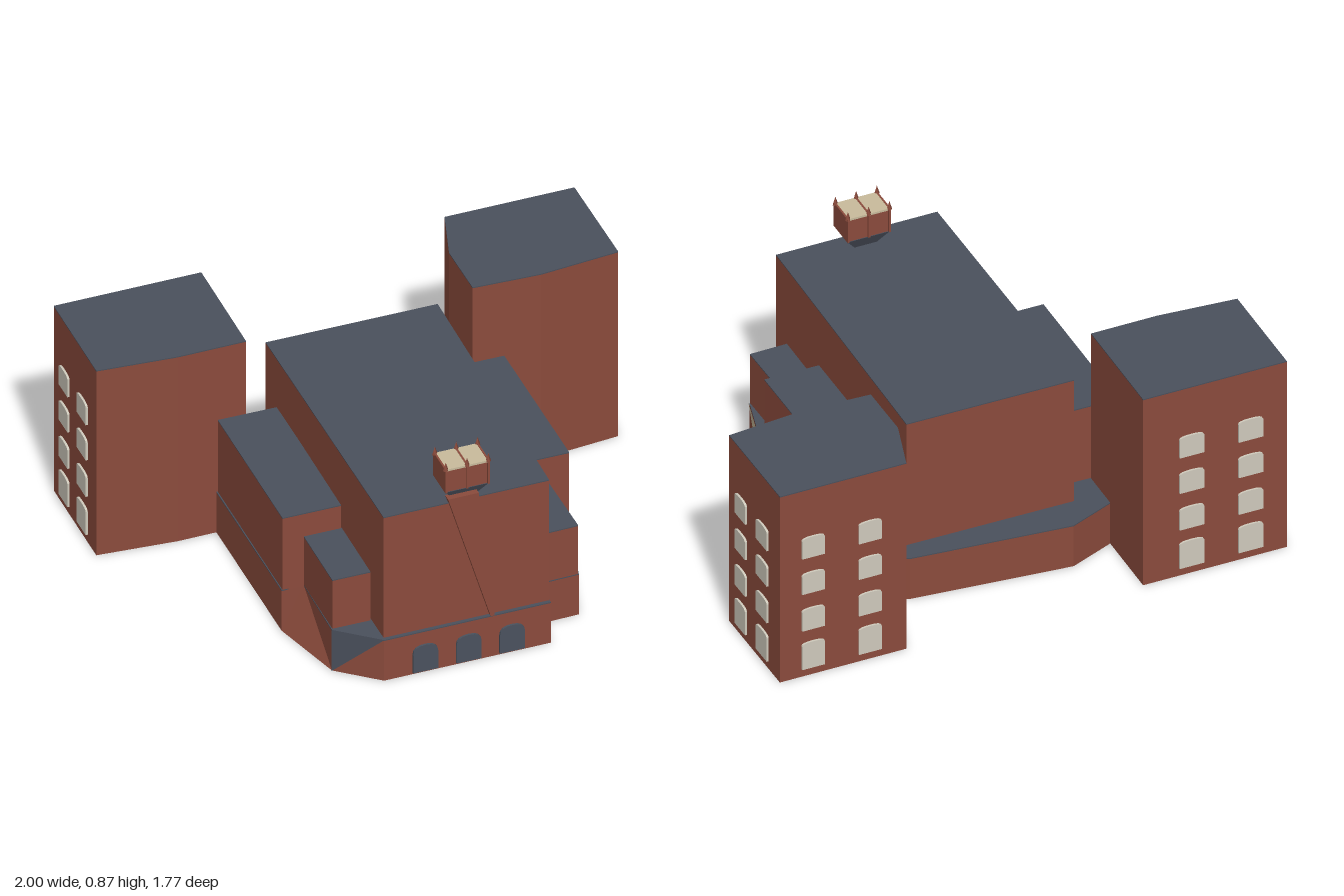
import * as THREE from 'three';

const mat = (name, color, extra = {}) => {
  const m = new THREE.MeshStandardMaterial({ color, ...extra });
  m.name = name;
  return m;
};

export function createModel() {
  const brick = mat('brick', 0x8b4b3c);
  const slate = mat('slate', 0x4a505c);
  const pane = mat('pale window', 0xcfcabc);
  const cream = mat('cream', 0xc9bb9c);
  const glass = mat('dark glass', 0x4a525e);

  const model = new THREE.Group();
  model.name = 'building';

  const add = (parent, name, geo, material) => {
    const m = new THREE.Mesh(geo, material);
    m.name = name;
    parent.add(m);
    return m;
  };

  // Extrude a plan outline of [x, z] points upward from y0 to y1
  const slab = (plan, y0, y1) => {
    const shape = new THREE.Shape(plan.map(([x, z]) => new THREE.Vector2(x, -z)));
    return new THREE.ExtrudeGeometry(shape, { depth: y1 - y0, bevelEnabled: false })
      .rotateX(-Math.PI / 2).translate(0, y0, 0);
  };

  // Brick volume with a thin slate roof
  const block = (name, plan, y0, y1) => {
    const g = new THREE.Group();
    g.name = name;
    add(g, name + 'Walls', slab(plan, y0, y1 - 0.004), brick);
    add(g, name + 'Roof', slab(plan, y1 - 0.004, y1), slate);
    model.add(g);
  };

  const faces = (name, points, material) => {
    const geo = new THREE.BufferGeometry();
    geo.setAttribute('position', new THREE.Float32BufferAttribute(points.flat(), 3));
    geo.computeVertexNormals();
    add(model, name, geo, material);
  };

  // Windows on the wall a -> b (left to right seen from outside)
  const windows = (name, a, b, columns, rows, material, arch) => {
    const dx = b[0] - a[0], dz = b[1] - a[1], len = Math.hypot(dx, dz);
    const g = new THREE.Group();
    g.name = name;
    g.position.set(a[0], 0, a[1]);
    g.rotation.y = Math.atan2(-dz, dx);
    for (const [u0, u1] of columns) {
      for (const [y0, y1] of rows) {
        const x0 = u0 * len, x1 = u1 * len, s = new THREE.Shape();
        s.moveTo(x0, y0);
        s.lineTo(x1, y0);
        s.lineTo(x1, y1 - arch);
        s.quadraticCurveTo(x1, y1, (x0 + x1) / 2, y1);
        s.quadraticCurveTo(x0, y1, x0, y1 - arch);
        const geo = new THREE.ExtrudeGeometry(s, { depth: 0.008, bevelEnabled: false, curveSegments: 4 });
        add(g, 'window', geo, material);
      }
    }
    model.add(g);
  };

  // Low base storey
  block('base', [
    [0.03, 0.88], [0.635, 0.715], [0.605, 0.6], [0.75, 0.557], [0.75, 0.257], [0.583, -0.342],
    [0.55, -0.42], [0.47, -0.44], [0.353, -0.465], [-0.245, -0.365], [-0.395, -0.25],
    [-0.46, -0.065], [-0.295, 0.545], [-0.215, 0.52], [-0.145, 0.8],
  ], 0, 0.175);

  // Main hall
  block('hall', [[-0.27, -0.22], [0.353, -0.385], [0.63, 0.703], [0.03, 0.866]], 0.17, 0.695);

  // Stepped side wings
  block('rightWing', [[-0.455, -0.065], [-0.24, -0.12], [-0.08, 0.487], [-0.292, 0.543]], 0.17, 0.485);
  block('leftWing', [[0.38, -0.29], [0.583, -0.342], [0.748, 0.257], [0.545, 0.31]], 0.17, 0.485);
  block('rightStep', [[-0.215, 0.52], [-0.078, 0.482], [-0.005, 0.757], [-0.143, 0.793]], 0.17, 0.385);
  block('leftStep', [[0.535, 0.313], [0.668, 0.279], [0.748, 0.557], [0.61, 0.597]], 0.17, 0.385);

  // Corner towers
  block('rightTower', [[-1, -0.375], [-0.465, -0.52], [-0.353, -0.095], [-0.6, -0.027], [-0.893, 0.027]], 0, 0.797);
  block('leftTower', [[0.417, -0.76], [0.888, -0.888], [1, -0.49], [0.717, -0.385], [0.47, -0.33], [0.41, -0.545]], 0, 0.797);

  // Tower windows
  const rows = [[0.033, 0.145], [0.198, 0.29], [0.355, 0.443], [0.507, 0.595]];
  windows('rightTowerBackWindows', [-0.465, -0.52], [-1, -0.375], [[0.25, 0.42], [0.66, 0.83]], rows, pane, 0.012);
  windows('rightTowerSideWindows', [-1, -0.375], [-0.893, 0.027], [[0.16, 0.37], [0.58, 0.8]], rows, pane, 0.012);
  windows('leftTowerSideWindows', [1, -0.49], [0.888, -0.888], [[0.14, 0.35], [0.56, 0.78]], rows, pane, 0.012);
  windows('leftTowerBackWindows', [0.888, -0.888], [0.417, -0.76], [[0.17, 0.35], [0.62, 0.8]], rows, pane, 0.012);

  // Front entrance windows
  windows('entranceWindows', [0.03, 0.88], [0.635, 0.715], [[0.17, 0.32], [0.43, 0.58], [0.69, 0.84]],
    [[0.008, 0.12]], glass, 0.035);

  // Sloping brick buttress at the front corner
  faces('cornerSlope', [
    [-0.295, 0, 0.545], [-0.145, 0, 0.8], [-0.215, 0.175, 0.52],
    [-0.295, 0, 0.545], [-0.215, 0, 0.52], [-0.145, 0, 0.8],
  ], brick);

  // Painted triangles on the base walls
  faces('slateTriangle', [[-0.1465, 0, 0.803], [0.0285, 0.175, 0.883], [-0.1465, 0.175, 0.803]], slate);
  faces('creamTriangle', [[0.753, 0, 0.257], [0.753, 0.175, 0.257], [0.753, 0.175, 0.557]], cream);

  // Rooftop lantern, aligned with the hall front
  const lantern = new THREE.Group();
  lantern.name = 'lantern';
  lantern.position.set(0.318, 0, 0.738);
  lantern.rotation.y = 0.265;
  model.add(lantern);
  add(lantern, 'lanternBody', new THREE.BoxGeometry(0.16, 0.09, 0.1).translate(0, 0.788, 0), brick);
  add(lantern, 'lanternTop', new THREE.BoxGeometry(0.164, 0.008, 0.11).translate(0, 0.84, 0), cream);
  for (const x of [-0.08, 0, 0.08]) {
    add(lantern, 'lanternFin', new THREE.BoxGeometry(0.007, 0.1, 0.118).translate(x, 0.795, 0), brick);
    for (const z of [-0.052, 0.052]) {
      const spike = new THREE.ConeGeometry(0.011, 0.035, 4).translate(x, 0.856, z);
      add(lantern, 'lanternSpike', spike, brick);
    }
  }
  const foot = new THREE.CylinderGeometry(0.115, 0.06, 0.05, 4, 1).rotateY(Math.PI / 4).toNonIndexed();
  foot.computeVertexNormals();
  add(lantern, 'lanternFoot', foot.scale(1, 1, 0.65).translate(0, 0.719, 0), slate);

  // Tapering brick stem down the hall front
  const stem = new THREE.Shape([[-0.075, 0.72], [0.085, 0.175], [0.1, 0.175], [0.04, 0.72]]
    .map(([x, y]) => new THREE.Vector2(x, y)));
  add(lantern, 'lanternStem',
    new THREE.ExtrudeGeometry(stem, { depth: 0.03, bevelEnabled: false }).translate(0, 0, 0.034), brick);

  return model;
}
